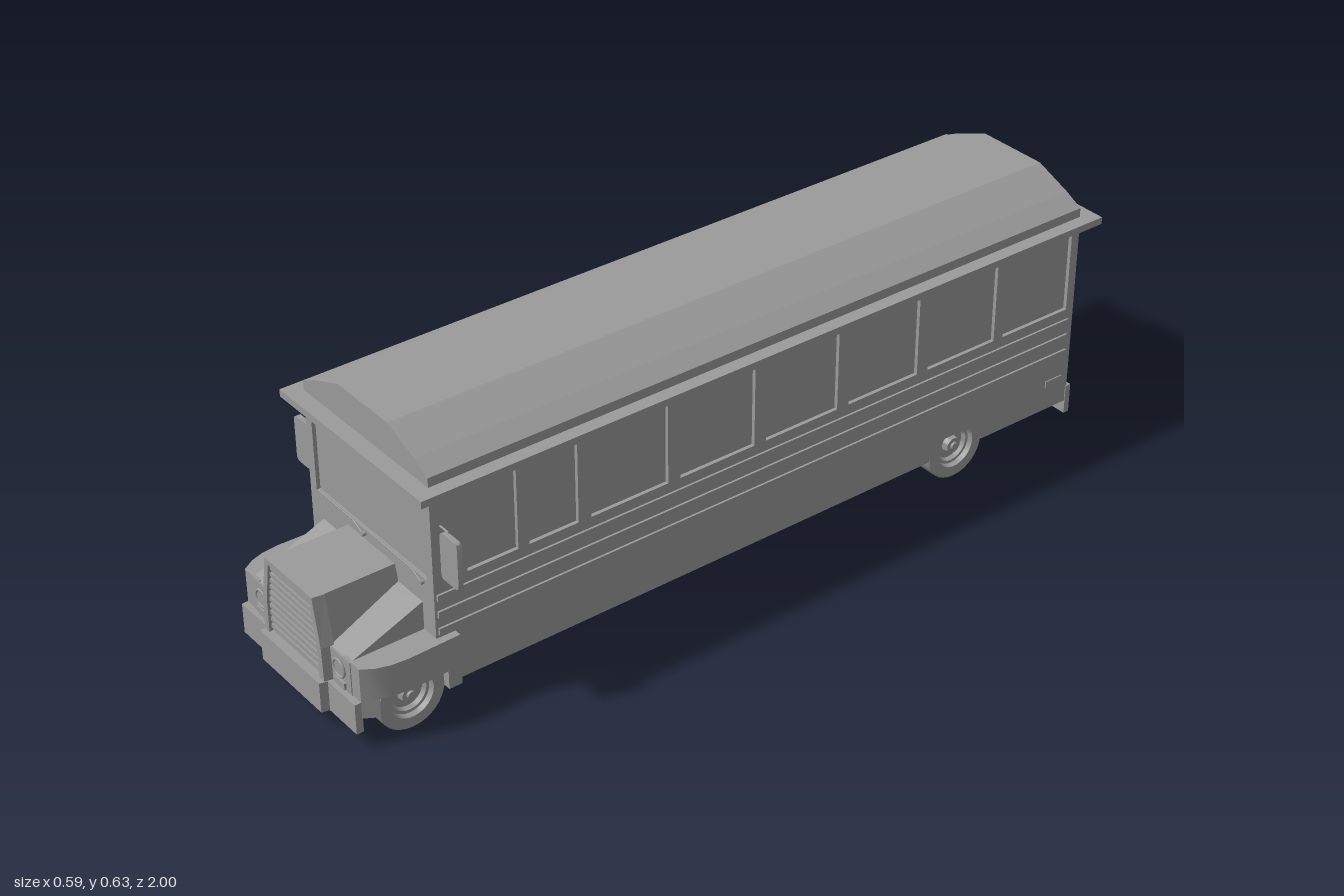
import * as THREE from 'three';
import { toCreasedNormals } from 'three/addons/utils/BufferGeometryUtils.js';

const paint = new THREE.MeshStandardMaterial({ color: 0x9b9b9b });

export function createModel() {
  const bus = new THREE.Group();
  bus.name = 'bus';

  const add = (name, geometry) => {
    const mesh = new THREE.Mesh(geometry, paint);
    mesh.name = name;
    bus.add(mesh);
    return mesh;
  };
  // Box given by its limits on each axis
  const box = (name, x0, x1, y0, y1, z0, z1) =>
    add(name, new THREE.BoxGeometry(x1 - x0, y1 - y0, z1 - z0)
      .translate((x0 + x1) / 2, (y0 + y1) / 2, (z0 + z1) / 2));
  const poly = (pts) => new THREE.Shape(pts.map((p) => new THREE.Vector2(...p)));
  const rect = (a0, a1, y0, y1) => poly([[a0, y0], [a1, y0], [a1, y1], [a0, y1]]);
  const extrude = (shape, depth) => new THREE.ExtrudeGeometry(shape, { depth, bevelEnabled: false });
  // (x, y) outline running from z0 to z1
  const alongZ = (shape, z0, z1) => extrude(shape, z1 - z0).translate(0, 0, z0);
  // (z, y) outline running from x0 to x1
  const alongX = (shape, x0, x1) => extrude(shape, x1 - x0).rotateY(-Math.PI / 2).translate(x1, 0, 0);
  // (x, z) plan running from y0 to y1
  const alongY = (shape, y0, y1) => extrude(shape, y1 - y0).rotateX(Math.PI / 2).translate(0, y1, 0);
  const bothSides = (fn) => [['left', 1], ['right', -1]].forEach(([n, s]) => fn(n, s));
  const sideExtrude = (shape, s, xa, xb) => (s > 0 ? alongX(shape, xa, xb) : alongX(shape, -xb, -xa));
  const sideBox = (name, s, xa, xb, ...rest) =>
    (s > 0 ? box(name, xa, xb, ...rest) : box(name, -xb, -xa, ...rest));
  const tube = (name, pts, r) => {
    const path = new THREE.CurvePath();
    const v = pts.map((p) => new THREE.Vector3(...p));
    for (let i = 1; i < v.length; i++) path.add(new THREE.LineCurve3(v[i - 1], v[i]));
    return add(name, new THREE.TubeGeometry(path, 16, r, 6));
  };
  // Narrows the part of a geometry in front of z
  const taperNose = (geometry, z, k) => {
    const p = geometry.attributes.position;
    for (let i = 0; i < p.count; i++) if (p.getZ(i) > z) p.setX(i, p.getX(i) * k);
    geometry.computeVertexNormals();
    return geometry;
  };

  const FRONT = 0.79, BACK = -0.96, HALF = 0.226, SILL = 0.3;
  const wheelZ = [0.855, -0.615];

  // Body core and floor
  box('floor', -0.15, 0.15, 0.07, SILL, BACK + 0.002, FRONT - 0.002);
  box('glass', -0.217, 0.217, SILL - 0.01, 0.54, BACK + 0.008, FRONT - 0.008);

  // Side walls with wheel openings, window frames and rub rails
  const windows = [[0.586, 0.709], [0.436, 0.559], [0.206, 0.404], [-0.024, 0.174],
    [-0.254, -0.056], [-0.484, -0.286], [-0.714, -0.516], [-0.939, -0.741]];
  const [, rz] = wheelZ;
  bothSides((n, s) => {
    const lower = poly([[BACK, 0.07], [BACK, SILL], [FRONT, SILL], [FRONT, 0.14], [0.76, 0.115],
      [0.76, 0.07], [rz + 0.08, 0.07], [rz + 0.07, 0.1], [rz + 0.045, 0.115],
      [rz - 0.045, 0.115], [rz - 0.07, 0.1], [rz - 0.08, 0.07]]);
    add(n + 'LowerWall', sideExtrude(lower, s, 0.15, HALF));
    const frame = rect(BACK, FRONT, SILL, 0.54);
    windows.forEach(([a, b]) => frame.holes.push(rect(a, b, 0.322, 0.525)));
    add(n + 'WindowFrames', sideExtrude(frame, s, 0.214, HALF));
    [0.2, 0.241, 0.281].forEach((y) =>
      sideBox(n + 'RubRail', s, HALF - 0.002, 0.231, y, y + 0.016, BACK + 0.015, FRONT - 0.005));
    sideBox(n + 'SideMarker', s, 0.22, 0.229, 0.13, 0.147, -0.94, -0.89);
  });

  // End walls with windscreen and rear window openings
  const endWall = (y0) => {
    const w = rect(-HALF, HALF, y0, 0.54);
    w.holes.push(rect(-0.203, 0.203, 0.322, 0.522));
    return w;
  };
  add('frontWall', alongZ(endWall(0.115), FRONT - 0.01, FRONT + 0.001));
  add('rearWall', alongZ(endWall(0.07), BACK - 0.001, BACK + 0.01));

  // Eave and faceted roof
  box('eave', -0.257, 0.257, 0.537, 0.554, -0.998, 0.828);
  add('roof', alongZ(poly([[-0.225, 0.55], [0.225, 0.55], [0.225, 0.576], [0.18, 0.599],
    [0.09, 0.635], [-0.09, 0.635], [-0.18, 0.599], [-0.225, 0.576]]), BACK, FRONT));

  // Bonnet with sloping shoulders
  add('bonnet', alongZ(poly([[-0.11, 0.08], [0.11, 0.08], [0.11, 0.19], [0.087, 0.298],
    [-0.087, 0.298], [-0.11, 0.19]]), FRONT - 0.01, 0.978));
  add('shoulders', alongX(poly([[FRONT - 0.01, 0.115], [0.965, 0.115], [0.965, 0.19],
    [FRONT - 0.01, 0.264]]), -0.183, 0.183));
  box('frontChassis', -0.15, 0.15, 0.07, 0.13, FRONT - 0.01, 0.967);

  // Grille surround and slats
  const surround = poly([[-0.119, 0.1], [0.119, 0.1], [0.115, 0.19], [0.093, 0.302],
    [-0.093, 0.302], [-0.115, 0.19]]);
  surround.holes.push(poly([[-0.101, 0.105], [0.101, 0.105], [0.099, 0.19], [0.082, 0.289],
    [-0.082, 0.289], [-0.099, 0.19]]));
  add('grilleSurround', taperNose(alongZ(surround, 0.96, 0.988), 0.98, 0.95));
  for (let i = 0; i < 10; i++) {
    const y = 0.12 + i * 0.017;
    const w = y < 0.19 ? 0.096 : 0.096 - (y - 0.19) * 0.19;
    box('grilleSlat', -w, w, y, y + 0.009, 0.97, 0.982);
  }

  // Front wings, rounded in plan at the nose, cut away over the wheel
  const plan = [[0.16, 0.745], [0.243, 0.745], [0.246, 0.87], [0.242, 0.91], [0.232, 0.94],
    [0.215, 0.967], [0.16, 0.967]];
  bothSides((n, s) => {
    const wingPart = (pts, y0, y1) => add(n + 'Wing',
      toCreasedNormals(alongY(poly(pts.map(([x, z]) => [s * x, z])), y0, y1), 0.7));
    wingPart(plan, 0.115, 0.192);
    wingPart([[0.16, 0.935], [0.234, 0.935], [0.215, 0.967], [0.16, 0.967]], 0.07, 0.115);
    wingPart([[0.16, 0.745], [0.243, 0.745], [0.243, 0.777], [0.16, 0.777]], 0.07, 0.115);

    // Headlight and indicator
    box(n + 'LampPanel', s * 0.147 - 0.038, s * 0.147 + 0.038, 0.1, 0.19, 0.95, 0.969);
    add(n + 'HeadlightRim', new THREE.TorusGeometry(0.02, 0.003, 8, 24).translate(s * 0.147, 0.158, 0.972));
    add(n + 'Headlight', new THREE.CylinderGeometry(0.019, 0.019, 0.006, 24)
      .rotateX(Math.PI / 2).translate(s * 0.147, 0.158, 0.969));
    box(n + 'Indicator', s * 0.147 - 0.019, s * 0.147 + 0.019, 0.114, 0.13, 0.96, 0.974);

    // Tail lamp
    box(n + 'TailLamp', s * 0.165 - 0.021, s * 0.165 + 0.021, 0.124, 0.155, -0.97, -0.955);

    // Mirror with rounded corners on two bent arms
    const glass = new THREE.Shape();
    const r = 0.011, w = 0.03 - r, h = 0.0555 - r;
    [[w, h], [-w, h], [-w, -h], [w, -h]].forEach(([x, y], i) =>
      glass.absarc(x, y, r, i * Math.PI / 2, (i + 1) * Math.PI / 2));
    add(n + 'Mirror', toCreasedNormals(alongZ(glass, 0.766, 0.778).translate(s * 0.267, 0.398, 0), 0.6));
    [[0.456, 0.44], [0.335, 0.352]].forEach(([y, yEnd]) => tube(n + 'MirrorArm',
      [[s * 0.22, y, 0.768], [s * 0.252, y, 0.768], [s * 0.262, yEnd, 0.77]], 0.0025));
  });

  // Wipers
  [-0.021, 0.19].forEach((x) => {
    tube('wiper', [[x, 0.313, 0.796], [x - 0.034, 0.329, 0.796], [x - 0.163, 0.331, 0.796]], 0.0022);
    add('wiperPivot', new THREE.CylinderGeometry(0.005, 0.005, 0.012, 12).rotateX(Math.PI / 2)
      .translate(x, 0.313, 0.794));
  });

  // Bumpers
  box('frontBumper', -0.215, 0.215, 0.037, 0.11, 0.965, 0.982);
  add('frontBumperCentre', taperNose(alongZ(rect(-0.118, 0.118, 0.037, 0.11), 0.975, 1), 0.99, 0.95));
  box('rearBumper', -0.228, 0.228, 0.037, 0.11, -0.972, -0.957);

  // Wheels: tyre with dished rim and hub, turned about the axle
  const profile = [[0, -0.033], [0.08, -0.033], [0.08, 0.029], [0.077, 0.032],
    [0.052, 0.032], [0.049, 0.02], [0.042, 0.02], [0.038, 0.01], [0.022, 0.012], [0.019, 0.026],
    [0.01, 0.026], [0.008, 0.031], [0, 0.031]].map((p) => new THREE.Vector2(...p));
  const wheelGeometry = toCreasedNormals(new THREE.LatheGeometry(profile, 32), 0.6);
  wheelZ.forEach((z, i) => bothSides((n, s) => {
    const wheel = add((i ? 'rear' : 'front') + (s > 0 ? 'Left' : 'Right') + 'Wheel', wheelGeometry);
    wheel.position.set(s * 0.194, 0.08, z);
    wheel.rotation.z = -s * Math.PI / 2;
  }));
  add('rearAxle', new THREE.CylinderGeometry(0.035, 0.035, 0.34, 20).rotateZ(Math.PI / 2)
    .translate(0, 0.08, rz));

  return bus;
}
